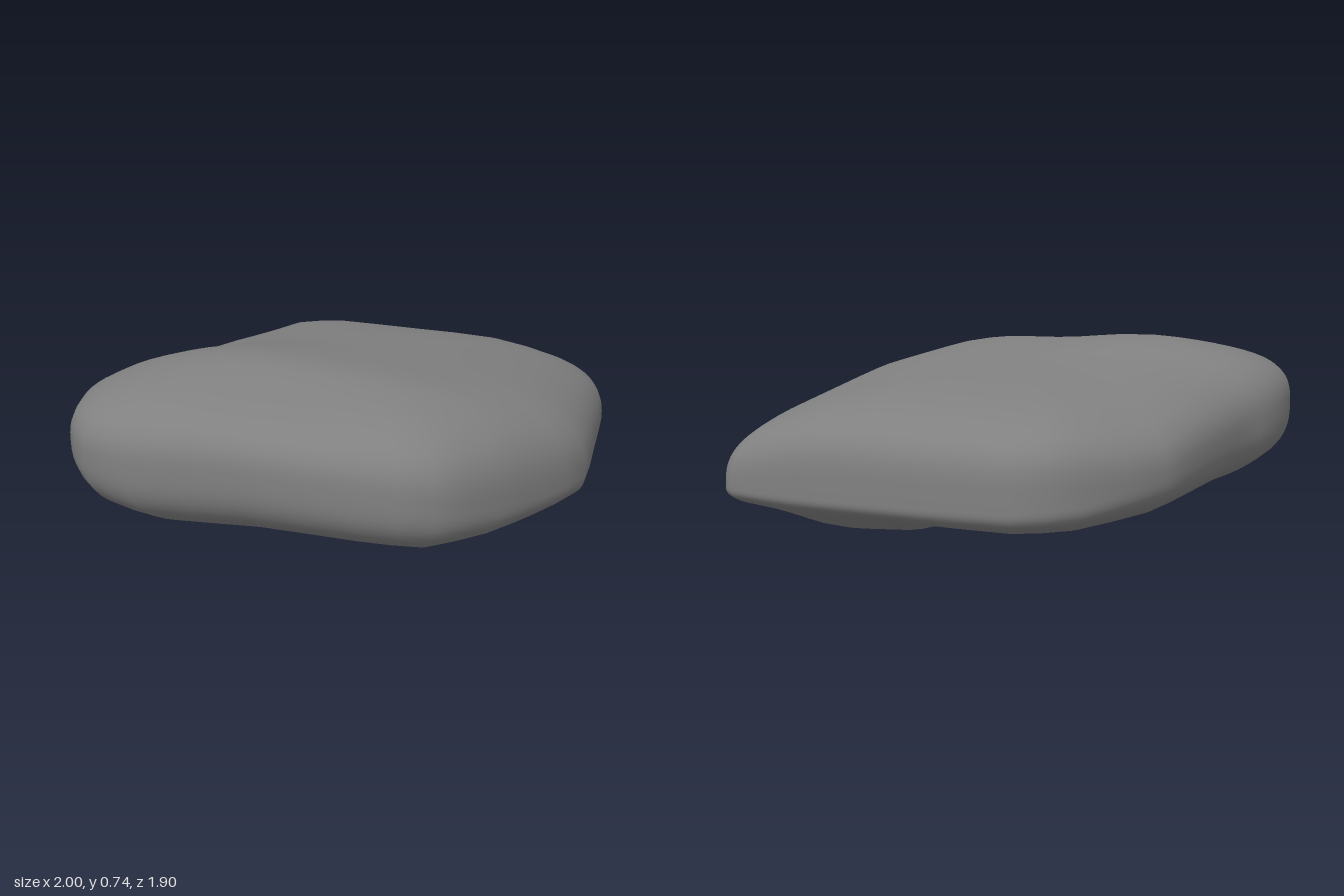
import * as THREE from 'three';
import { mergeVertices } from 'three/addons/utils/BufferGeometryUtils.js';

const { smoothstep, lerp } = THREE.MathUtils;
const bump = (x, z, cx, cz, w) => Math.exp(-((x - cx) ** 2 + (z - cz) ** 2) / (w * w));

// Widest contour of the boulder: x, rim height, z
const rim = [
  [-0.61, 0.41, 0.95], [-0.2, 0.41, 0.9], [0.28, 0.39, 0.89], [0.56, 0.36, 0.84],
  [0.75, 0.3, 0.6], [0.88, 0.27, 0.36], [1, 0.25, 0.09], [0.99, 0.23, -0.3],
  [0.97, 0.2, -0.72], [0.93, 0.19, -0.87], [0.86, 0.19, -0.93], [0.55, 0.19, -0.95],
  [0.1, 0.2, -0.95], [-0.38, 0.22, -0.95], [-0.61, 0.24, -0.81], [-0.81, 0.3, -0.48],
  [-0.86, 0.33, -0.2], [-0.89, 0.35, 0.05], [-0.92, 0.37, 0.23], [-0.98, 0.41, 0.4],
  [-1, 0.44, 0.6], [-0.94, 0.44, 0.78], [-0.82, 0.43, 0.9],
].map((p) => new THREE.Vector3(...p));

// Upper face: slopes down towards the back, with a low crest and a hollow at the front
const topHeight = (x, z) => 0.715 - 0.01 * x - 0.125 * Math.max(0, 0.4 - z)
  + 0.03 * bump(x, z, -0.37, 0.37, 0.35) - 0.03 * bump(x, z, -0.1, 0.7, 0.25);

// Underside: shallow belly with a rounded foot at the back left
const bottomHeight = (x, z) =>
  0.06 - 0.075 * (1 - smoothstep(Math.hypot(x - 0.45, z + 0.5), 0.2, 0.48));

// Shoulder fullness: squarest along the back, softest on the left flank
const topPower = ({ x, z }) => 2.6 + 0.5 * smoothstep(z, 0, 0.8)
  + 1.8 * smoothstep(-z, 0.5, 0.95) * (1 - smoothstep(x, 0.4, 1));

function rockGeometry() {
  const around = rim.length * 2, rings = 20;
  const curve = new THREE.CatmullRomCurve3(rim, true, 'catmullrom', 0.25);
  const positions = [], index = [];

  // Rings run from the top centre out to the rim and back in underneath
  for (let j = 0; j <= 2 * rings; j++) {
    const upper = j <= rings;
    const u = upper ? j / rings : 2 - j / rings;
    const r = 1 - (1 - u) ** 2.5;
    for (let i = 0; i < around; i++) {
      const p = curve.getPoint(i / around);
      const x = p.x * r, z = p.z * r;
      const n = upper ? topPower(p) : 2.7;
      const h = Math.max(0, 1 - r ** n) ** (1 / n);
      const face = upper ? topHeight(x, z) : bottomHeight(x, z);
      positions.push(x, lerp(p.y, face, h), z);
    }
  }
  for (let j = 0; j < 2 * rings; j++) {
    for (let i = 0; i < around; i++) {
      const k = (i + 1) % around;
      const a = j * around + i, b = a + around;
      const d = j * around + k, c = d + around;
      if (j < 2 * rings - 1) index.push(a, b, c);
      else index.push(a, b, d);
      if (j > 0 && j < 2 * rings - 1) index.push(a, c, d);
    }
  }
  let geometry = new THREE.BufferGeometry();
  geometry.setAttribute('position', new THREE.Float32BufferAttribute(positions, 3));
  geometry.setIndex(index);
  geometry = mergeVertices(geometry, 1e-5);
  geometry.computeBoundingBox();
  geometry.translate(0, -geometry.boundingBox.min.y, 0);
  geometry.computeVertexNormals();
  return geometry;
}

export function createModel() {
  const group = new THREE.Group();
  group.name = 'boulder';
  const rock = new THREE.Mesh(rockGeometry(), new THREE.MeshStandardMaterial({ color: 0x808080 }));
  rock.name = 'rock';
  group.add(rock);
  return group;
}
